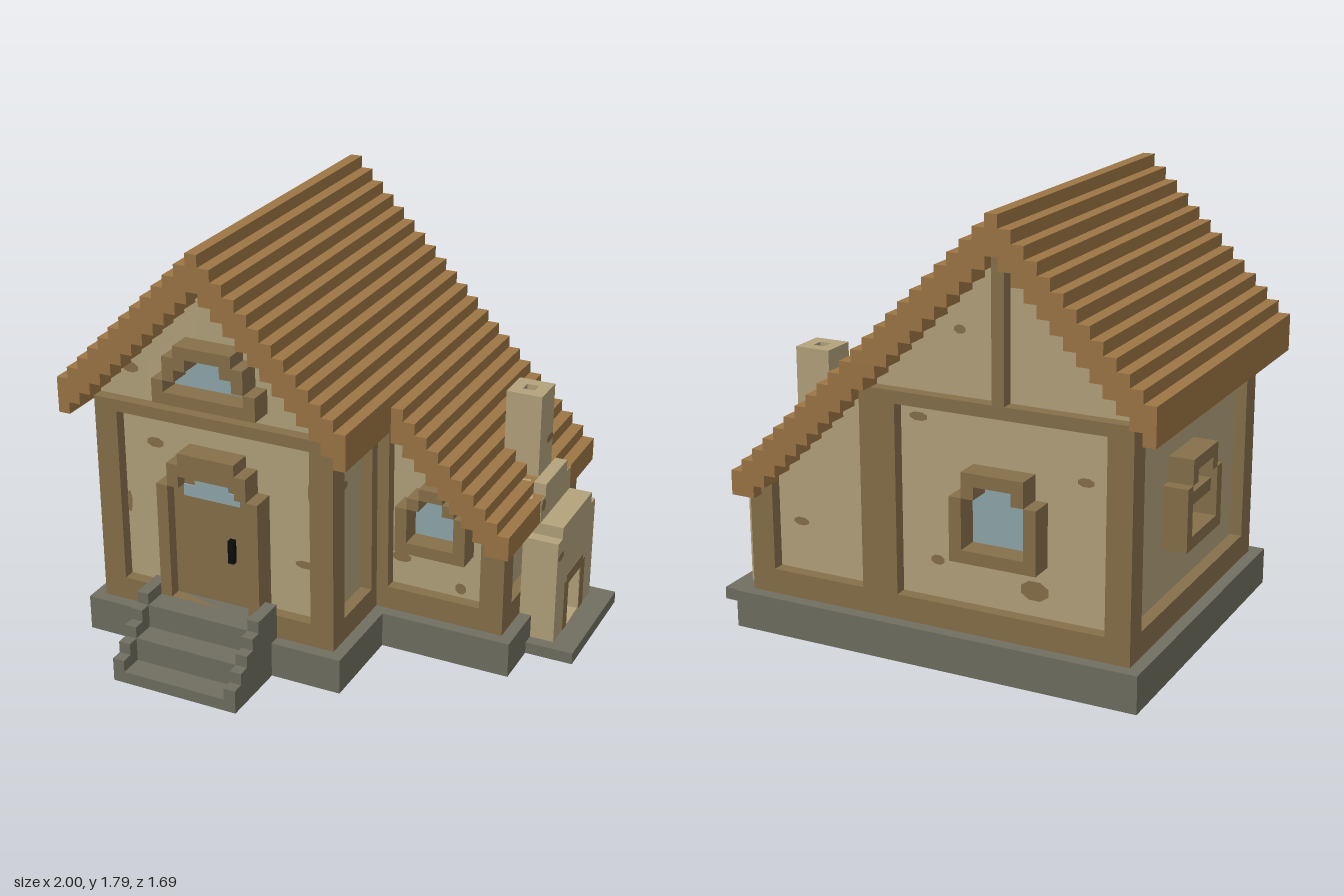
import * as THREE from 'three';

const mat = (name, color) => {
  const m = new THREE.MeshStandardMaterial({ color });
  m.name = name;
  return m;
};

export function createModel() {
  const plaster = mat('plaster', 0xb3a27b), timber = mat('timber', 0x86704a),
    roofWood = mat('roofWood', 0x9c7544), stone = mat('stone', 0x706f60),
    glass = mat('glass', 0x90a8ad), black = mat('black', 0x0d0d0e);

  // Everything is laid out on a grid of small blocks, 39 x 35 x 33
  const U = 2 / 39;
  const house = new THREE.Group();
  house.name = 'cottage';
  house.scale.setScalar(U);
  house.position.set(-1, 0, -16.5 * U);

  const add = (name, geo, m, parent = house) => {
    const mesh = new THREE.Mesh(geo, m);
    mesh.name = name;
    parent.add(mesh);
    return mesh;
  };
  const box = (name, m, x0, x1, y0, y1, z0, z1, parent = house) =>
    add(name, new THREE.BoxGeometry(x1 - x0, y1 - y0, z1 - z0)
      .translate((x0 + x1) / 2, (y0 + y1) / 2, (z0 + z1) / 2), m, parent);
  const extrude = (shape, depth) => new THREE.ExtrudeGeometry(shape, { depth, bevelEnabled: false });

  // Prism whose top and bottom change in whole blocks, one column at a time
  const stepped = (name, m, c0, c1, bottom, top, z0, z1) => {
    const pts = [];
    for (let c = c0; c < c1; c++) pts.push([c, bottom(c)], [c + 1, bottom(c)]);
    for (let c = c1 - 1; c >= c0; c--) pts.push([c + 1, top(c)], [c, top(c)]);
    const shape = new THREE.Shape(pts.map(p => new THREE.Vector2(...p)));
    return add(name, extrude(shape, z1 - z0).translate(0, 0, z0), m);
  };
  const ridge = c => 35 - Math.abs(c - 12);
  const under = c => Math.max(11, ridge(c) - 3);

  // Symmetric outline from rows of [half width, bottom, top]
  const tiers = rows => [
    ...rows.flatMap(([w, a, b]) => [new THREE.Vector2(w, a), new THREE.Vector2(w, b)]),
    ...[...rows].reverse().flatMap(([w, a, b]) => [new THREE.Vector2(-w, b), new THREE.Vector2(-w, a)]),
  ];
  const facing = (name, x, y, z, turn) => {
    const g = new THREE.Group();
    g.name = name;
    g.position.set(x, y, z);
    g.rotation.y = turn;
    house.add(g);
    return g;
  };
  const RIGHT = Math.PI / 2, BACK = Math.PI, LEFT = -Math.PI / 2;

  // Stone footing and hearth slab
  box('mainFooting', stone, 1, 24, 0, 3, 0, 27);
  box('wingFooting', stone, 24, 35, 0, 3, 0, 19);
  box('hearthSlab', stone, 35, 39, 0, 1, 4, 15);

  // Entrance stairs with stepped side walls
  [[26, 29, 5], [29, 31, 3], [31, 33, 1]].forEach(([a, b, h]) => box('stair', stone, 8, 17, 0, h, a, b));
  for (const x of [7, 17]) {
    [[26, 29, 6], [29, 30, 5], [30, 31, 4], [31, 32, 3], [32, 33, 2]]
      .forEach(([a, b, h]) => box('stairWall', stone, x, x + 1, 0, h, a, b));
  }

  // Plaster walls
  stepped('mainWalls', plaster, 3, 22, () => 3, under, 2, 25);
  stepped('gableWalls', plaster, 2, 23, () => 20.9, under, 2, 25);
  stepped('wingWalls', plaster, 22, 33, () => 3, under, 2, 17);

  // Timber frame of the main house
  for (const [x0, x1, z0, z1] of [[2, 4, 24, 26], [21, 23, 24, 26], [2, 4, 1, 3], [21, 24, 1, 3], [22, 24, 16.9, 18], [22, 23, 18, 19]])
    box('mainPost', timber, x0, x1, 3, 21, z0, z1);
  for (const [y0, y1] of [[3, 5], [20, 21]]) {
    box('frontBeam', timber, 4, 21, y0, y1, 24, 26);
    box('backBeam', timber, 4, 21, y0, y1, 1, 3);
    box('leftBeam', timber, 2, 4, y0, y1, 3, 24);
    box('rightBeam', timber, 21, 23, y0, y1, 19, 24);
  }
  box('backGablePost', timber, 12, 13, 21, 32, 1, 2);

  // Timber frame of the wing
  for (const [z0, z1] of [[16, 18], [1, 3]]) {
    box('wingPost', timber, 32, 33, 3, 12, z0, z1);
    box('wingPost', timber, 33, 34, 3, 11, z0, z1);
    box('wingSill', timber, 24, 32, 3, 5, z0, z1);
  }
  box('wingSideSill', timber, 32, 34, 3, 5, 3, 16);

  // Stepped plank roofs
  stepped('mainRoof', roofWood, 0, 25, under, ridge, 0, 28);
  stepped('wingRoof', roofWood, 25, 35, under, ridge, 0, 20);

  // Windows: stepped frame with a recessed pane
  const makeWindow = (name, pos, turn, outer, pane, bar) => {
    const g = facing(name, ...pos, turn);
    const shape = new THREE.Shape(tiers(outer));
    shape.holes.push(new THREE.Path(tiers(pane)));
    add('windowFrame', extrude(shape, 2), timber, g);
    add('windowPane', extrude(new THREE.Shape(tiers(pane)), 0.15), glass, g);
    if (bar) box('windowBar', timber, -2.5, 2.5, 3, 4, 0, 1.5, g);
  };
  makeWindow('gableWindow', [12.5, 22, 25], 0,
    [[4.5, 0, 2], [3.5, 2, 4], [2.5, 4, 5]], [[3.5, 1, 2], [2.5, 2, 3], [1.5, 3, 4]]);
  makeWindow('wingWindow', [28, 9, 17], 0,
    [[3, 0, 4], [2, 4, 5], [1, 5, 6]], [[2, 1, 4], [1, 4, 5]]);
  const outer = [[3.5, 0, 5], [2.5, 5, 7]], pane = [[2.5, 1, 5], [1.5, 5, 6]];
  makeWindow('backWindow', [12.5, 9, 2], BACK, outer, pane);
  makeWindow('leftWindow', [3, 9, 12.5], LEFT, outer, pane, true);

  // Front door
  const door = facing('frontDoor', 12.5, 5, 25, 0);
  const doorway = [[3.5, 0, 10], [2.5, 10, 11]];
  const surround = new THREE.Shape(tiers([[4.5, 0, 10], [3.5, 10, 12], [2.5, 12, 13]]));
  surround.holes.push(new THREE.Path(tiers(doorway)));
  add('doorFrame', extrude(surround, 2), timber, door);
  add('doorLeaf', extrude(new THREE.Shape(tiers(doorway)), 1), timber, door);
  add('doorPane', extrude(new THREE.Shape(tiers([[2.5, 9, 10], [1.5, 10, 11]])), 0.12).translate(0, 0, 1), glass, door);
  box('doorHandle', black, 1.5, 2, 4, 6, 1, 1.5, door);

  // Chimney: hearth block with a firebox, shoulder and hollow-topped stack
  const hearth = facing('hearth', 34, 0, 9.5, RIGHT);
  const hearthShape = new THREE.Shape(tiers([[4.5, 1, 10], [3.5, 10, 11]]));
  hearthShape.holes.push(new THREE.Path(tiers([[1.5, 1, 5]])));
  add('hearthBlock', extrude(hearthShape, 3), plaster, hearth);
  add('firebox', extrude(new THREE.Shape(tiers([[1.5, 1, 5]])), 2), black, hearth);
  const arch = new THREE.Shape(tiers([[2.5, 1, 5.5], [2, 5.5, 6]]));
  arch.holes.push(new THREE.Path(tiers([[1.5, 1, 5]])));
  add('fireArch', extrude(arch, 0.1).translate(0, 0, 2.95), timber, hearth);
  box('lowerShoulder', plaster, 33, 35.05, 11, 13, 6, 13);
  box('upperShoulder', plaster, 33, 35.05, 13, 14, 7, 12);
  box('stackCore', plaster, 32, 33, 11, 20, 9, 10);
  for (const [x0, x1, z0, z1] of [[31, 32, 8, 11], [33, 34, 8, 11], [32, 33, 8, 9], [32, 33, 10, 11]])
    box('stackSide', plaster, x0, x1, 11, 21, z0, z1);

  // Worn patches in the plaster: position, width, height, direction
  const patch = (x, y, z, w, h, turn) => {
    const g = facing('wornPatch', x, y, z, turn);
    add('patch', new THREE.CircleGeometry(0.5, 8, Math.PI / 8).scale(w, h, 1).translate(0, 0, 0.06), timber, g);
  };
  [[6.9, 17.5, 25, 1.6, 0.9], [15, 28.6, 25, 1.8, 0.9], [4.9, 23.6, 25, 1.6, 0.9], [20.1, 9.6, 25, 1.8, 0.7],
    [20.7, 16, 25, 0.6, 2.4], [4.2, 11.7, 25, 0.5, 2], [24.8, 7.5, 17, 1.8, 0.9], [30, 5.8, 17, 1, 1]]
    .forEach(p => patch(...p, 0));
  [[22, 15.6, 22.1, 1.3, 0.7], [22, 6.1, 23, 2, 1.8], [33, 7.6, 4.7, 0.9, 0.9], [34, 16.6, 8.8, 1.6, 0.7],
    [37, 8.6, 13.3, 1.4, 0.7], [35.05, 12.4, 12.5, 0.9, 1]]
    .forEach(p => patch(...p, RIGHT));
  [[30, 9, 2, 1.4, 0.7], [19.5, 19, 2, 1.6, 0.7], [18, 8, 2, 1.2, 0.8], [10, 7, 2, 2.4, 1.6],
    [16, 26, 2, 1, 0.7], [6, 16, 2, 1.4, 0.7]]
    .forEach(p => patch(...p, BACK));
  patch(3, 7.6, 18, 0.7, 0.5, LEFT);

  const root = new THREE.Group();
  root.name = 'model';
  root.add(house);
  return root;
}
